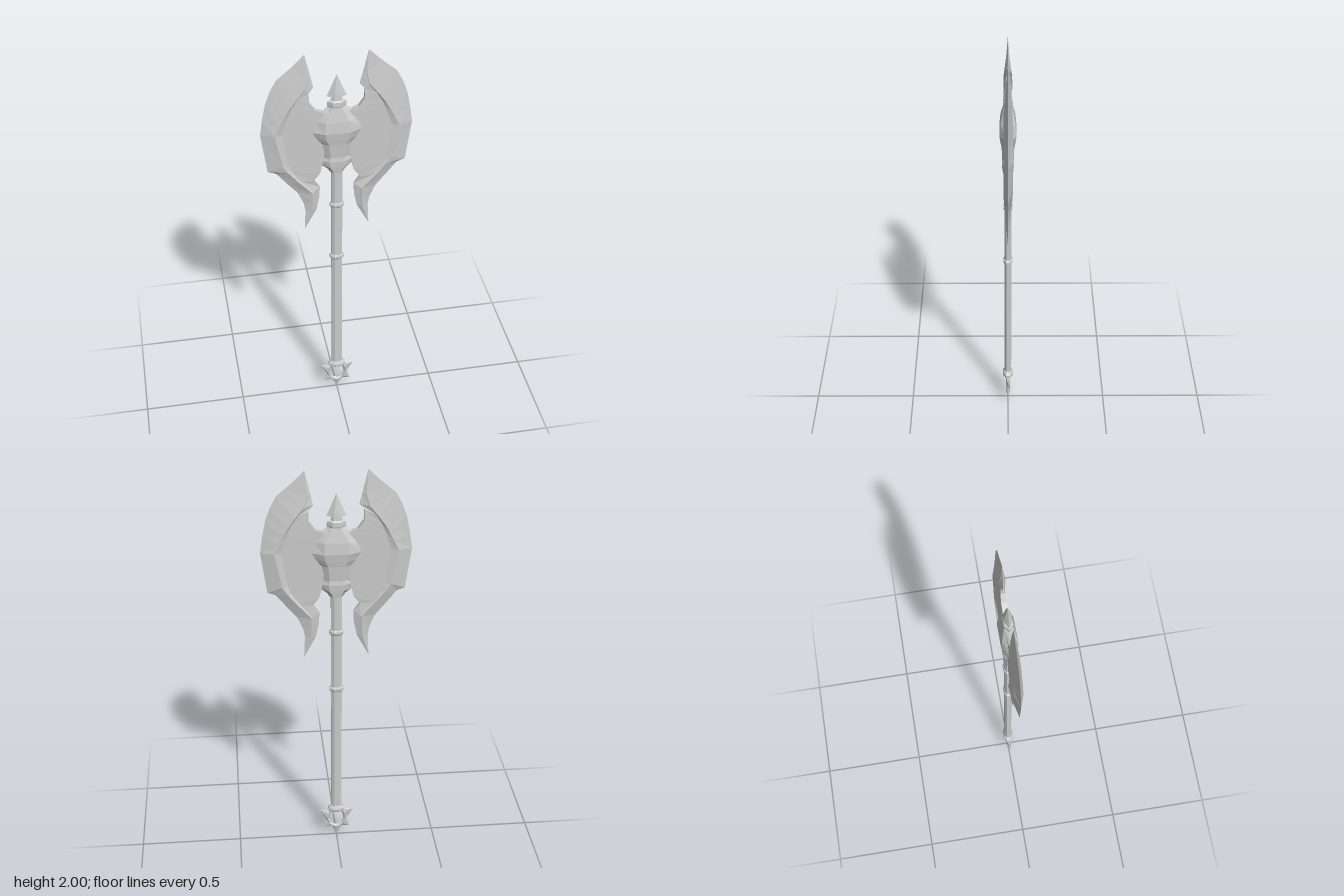
import * as THREE from 'three';

const material = new THREE.MeshStandardMaterial({ color: 0xcccccc, flatShading: true });

// Skin a row of equal-length cross-section loops; faces are turned outward by signed volume.
function loft(name, sections, closed = false) {
  const n = sections[0].length;
  const tris = [];
  const add = (a, b, c) => {
    const area = new THREE.Triangle(a, b, c).getArea();
    if (area > 1e-8) tris.push([a, b, c]);
  };
  const S = sections.map(s => s.map(p => new THREE.Vector3(...p)));
  const count = closed ? S.length : S.length - 1;
  for (let i = 0; i < count; i++) {
    const p = S[i], q = S[(i + 1) % S.length];
    for (let j = 0; j < n; j++) {
      const k = (j + 1) % n;
      add(p[j], p[k], q[k]);
      add(p[j], q[k], q[j]);
    }
  }
  if (!closed) {
    const first = S[0], last = S[S.length - 1];
    for (let j = 1; j < n - 1; j++) {
      add(first[0], first[j + 1], first[j]);
      add(last[0], last[j], last[j + 1]);
    }
  }
  let volume = 0;
  const cross = new THREE.Vector3();
  for (const [a, b, c] of tris) volume += a.dot(cross.crossVectors(b, c));
  const points = tris.flatMap(([a, b, c]) => (volume < 0 ? [a, c, b] : [a, b, c]));
  const geometry = new THREE.BufferGeometry().setFromPoints(points);
  geometry.computeVertexNormals();
  const mesh = new THREE.Mesh(geometry, material);
  mesh.name = name;
  return mesh;
}

// Flattened six-sided section: half width w, half depth d, front facet half width f
const hex = (y, w, d, f = w * 0.45) => [
  [w, y, 0], [f, y, d], [-f, y, d], [-w, y, 0], [-f, y, -d], [f, y, -d],
];

// Eight-sided oval section
const oct = (y, rx, rz) => Array.from({ length: 8 }, (_, i) => {
  const a = (i + 0.5) * Math.PI / 4;
  return [rx * Math.cos(a) * 1.08, y, rz * Math.sin(a) * 1.08];
});

// Blade stations from top to bottom: cutting edge, bevel ridge, plate inner edge, half depths
const bladeStations = [
  // edge x, y   ridge x, y    inner x, y   ridge z, inner z
  [0.143, 2.00, 0.143, 2.00, 0.143, 2.00, 0, 0],
  [0.205, 1.94, 0.135, 1.89, 0.115, 1.88, 0.009, 0],
  [0.235, 1.915, 0.150, 1.83, 0.105, 1.835, 0.016, 0.002],
  [0.270, 1.885, 0.190, 1.78, 0.127, 1.81, 0.020, 0.009],
  [0.300, 1.83, 0.222, 1.735, 0.127, 1.76, 0.021, 0.011],
  [0.322, 1.77, 0.245, 1.695, 0.100, 1.72, 0.021, 0.012],
  [0.338, 1.69, 0.265, 1.655, 0.050, 1.70, 0.021, 0.012],
  [0.350, 1.61, 0.287, 1.61, 0.050, 1.61, 0.021, 0.012],
  [0.322, 1.41, 0.252, 1.44, 0.062, 1.46, 0.021, 0.012],
  [0.283, 1.395, 0.230, 1.405, 0.080, 1.38, 0.021, 0.012],
  [0.235, 1.335, 0.180, 1.345, 0.110, 1.34, 0.020, 0.010],
  [0.185, 1.275, 0.118, 1.275, 0.080, 1.30, 0.018, 0.003],
  [0.158, 1.215, 0.118, 1.22, 0.083, 1.24, 0.013, 0],
  [0.150, 1.17, 0.122, 1.17, 0.097, 1.17, 0.009, 0],
  [0.155, 1.06, 0.155, 1.06, 0.155, 1.06, 0, 0],
];

function blade(name, side) {
  return loft(name, bladeStations.map(([ex, ey, rx, ry, ix, iy, rz, iz]) => {
    // the recessed plate starts a short step inward of the ridge
    const lx = rx + (ix - rx) * 0.14, ly = ry + (iy - ry) * 0.14;
    const lz = iz > 0.008 ? 0.013 : rz * 0.8;
    return [
      [side * ex, ey, 0], [side * rx, ry, rz], [side * lx, ly, lz], [side * ix, iy, iz],
      [side * ix, iy, -iz], [side * lx, ly, -lz], [side * rx, ry, -rz],
    ];
  }));
}

// Open star ring: alternating points and valleys around a tall hole
function pommel() {
  const half = [[-90, 0.11], [-67, 0.064], [-43, 0.092], [-8, 0.056], [28, 0.097], [56, 0.062]];
  const around = [
    ...half, [90, 0.06],
    ...half.slice(1).reverse().map(([a, r]) => [180 - a, r]),
  ];
  return loft('pommelStar', around.map(([deg, r]) => {
    const c = Math.cos(deg * Math.PI / 180), s = Math.sin(deg * Math.PI / 180);
    const at = (x, y, z) => [x, 0.11 + y, z];
    return [
      at(r * c, r * s, 0), at(0.046 * c, 0.055 * s, 0.011),
      at(0.035 * c, 0.047 * s, 0), at(0.046 * c, 0.055 * s, -0.011),
    ];
  }), true);
}

export function createModel() {
  const group = new THREE.Group();
  group.name = 'doubleAxe';

  group.add(blade('leftBlade', 1), blade('rightBlade', -1));

  // Faceted head between the blades
  group.add(loft('head', [
    hex(1.46, 0.070, 0.024), hex(1.54, 0.088, 0.030), hex(1.565, 0.112, 0.034),
    hex(1.605, 0.137, 0.039, 0.060), hex(1.66, 0.108, 0.034, 0.055),
    hex(1.70, 0.078, 0.026), hex(1.73, 0.043, 0.020),
  ]));

  // Socket joining the head to the shaft
  group.add(loft('socket', [
    hex(1.38, 0.034, 0.022, 0.018), hex(1.395, 0.042, 0.024, 0.022),
    hex(1.415, 0.068, 0.026, 0.034), hex(1.445, 0.078, 0.028, 0.036),
    hex(1.465, 0.066, 0.025, 0.032),
  ]));

  // Collar, stem and spike on top
  group.add(loft('topCollar', [
    hex(1.725, 0.040, 0.020), hex(1.735, 0.045, 0.022),
    hex(1.755, 0.043, 0.021), hex(1.762, 0.030, 0.015),
  ]));
  group.add(loft('spike', [
    hex(1.755, 0.030, 0.014), hex(1.785, 0.022, 0.011), hex(1.782, 0.047, 0.019, 0.012),
    hex(1.80, 0.038, 0.017, 0.010), hex(1.89, 0, 0, 0),
  ]));

  // Shaft with two rings and a bottom collar
  group.add(loft('shaft', [oct(0.16, 0.026, 0.017), oct(1.40, 0.026, 0.017)]));
  for (const y of [0.88, 1.19]) {
    group.add(loft('shaftRing', [
      oct(y - 0.013, 0.027, 0.018), oct(y - 0.006, 0.034, 0.022),
      oct(y + 0.006, 0.034, 0.022), oct(y + 0.013, 0.027, 0.018),
    ]));
  }
  group.add(loft('bottomCollar', [
    oct(0.152, 0.036, 0.020), oct(0.158, 0.042, 0.025),
    oct(0.172, 0.042, 0.025), oct(0.186, 0.028, 0.018),
  ]));

  group.add(pommel());
  return group;
}
